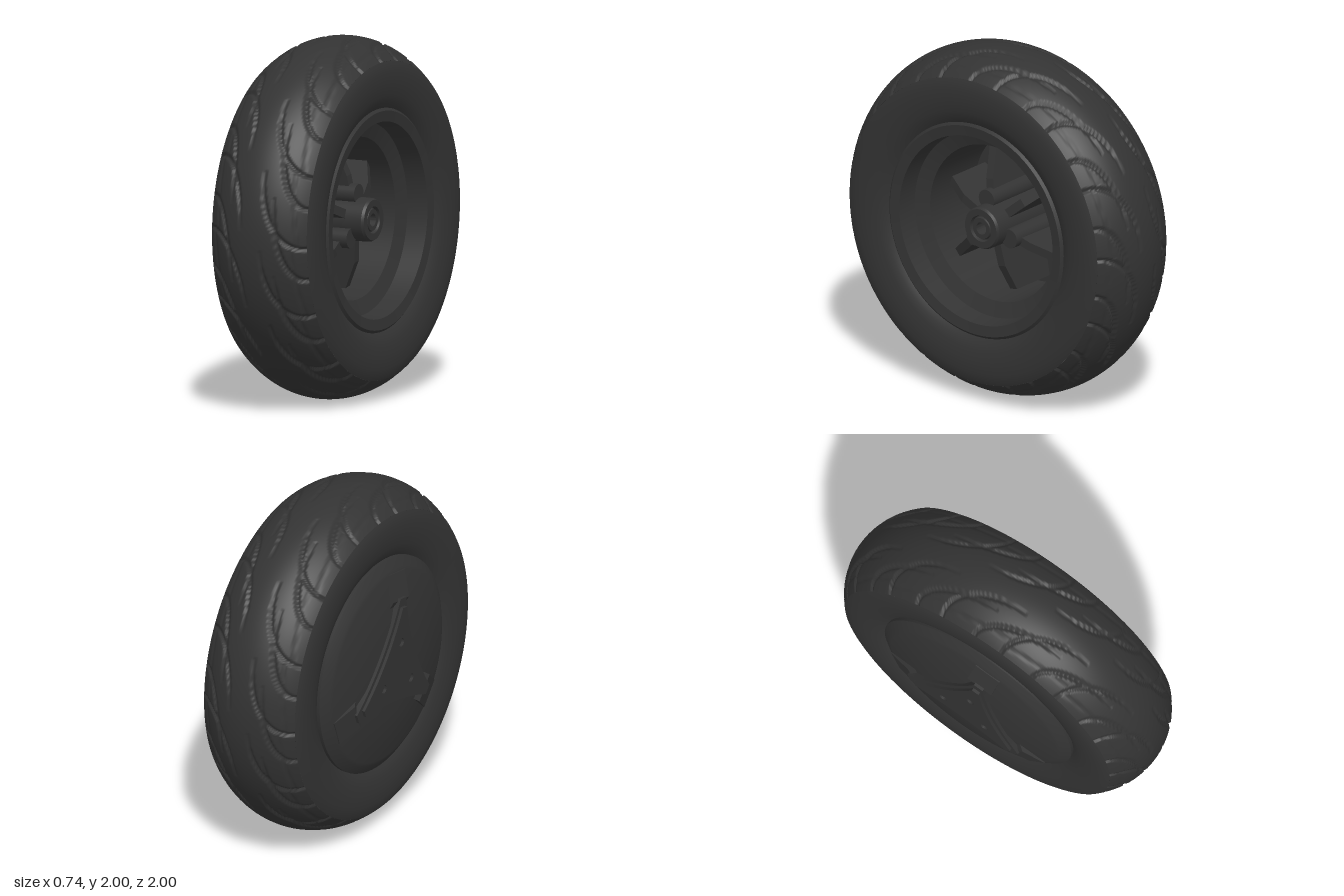
import * as THREE from 'three';
import { mergeVertices, toCreasedNormals } from 'three/addons/utils/BufferGeometryUtils.js';

const MID = 0.045;                    // centre plane of the tyre along the axle
const HALF = 0.295;                   // half width of the tread
const CORNERS = [80, 200, 320].map(THREE.MathUtils.degToRad);
const material = new THREE.MeshStandardMaterial({ color: 0x333333, side: THREE.DoubleSide });

function add(parent, name, geometry) {
  const mesh = new THREE.Mesh(geometry, material);
  mesh.name = name;
  parent.add(mesh);
  return mesh;
}

// Profile of [radius, x] pairs turned around the axle
function turned(points, segments = 96, crease = 0.45) {
  const g = new THREE.LatheGeometry(points.map(([r, x]) => new THREE.Vector2(r, x)), segments);
  g.rotateZ(-Math.PI / 2);
  return toCreasedNormals(g, crease);
}

// Shape drawn in (z, y), filling the axle range x0..x1
function slab(shape, x0, x1) {
  const g = new THREE.ExtrudeGeometry(shape, { depth: x1 - x0, bevelEnabled: false, curveSegments: 16 });
  g.rotateY(-Math.PI / 2);
  g.translate(x1, 0, 0);
  return toCreasedNormals(g, 0.5);
}

// Triangle with blunt corners and hollow sides
function triangle(Type, radius, blunt) {
  const path = new Type();
  CORNERS.forEach((a, i) => {
    const tip = (angle) => [radius * Math.cos(angle), radius * Math.sin(angle)];
    const before = tip(a - blunt), after = tip(a + blunt);
    if (i === 0) path.moveTo(...before);
    path.lineTo(...after);
    const mid = a + Math.PI / 3;
    const next = tip(a + Math.PI * 2 / 3 - blunt);
    path.quadraticCurveTo(radius * 0.36 * Math.cos(mid), radius * 0.36 * Math.sin(mid), ...next);
  });
  return path;
}

// Depth of the tread grooves, u = distance from the shoulder, phi = angle
function grooveDepth(u, phi) {
  const period = Math.PI * 2 / 14;
  let depth = 0;
  // Each crescent is a quarter ellipse: [start angle, length, reach]
  for (const [start, length, reach] of [[0.05, 0.44, 0.235], [0.25, 0.5, 0.165]]) {
    const t = phi - start + length;
    const base = t - Math.floor(t / period) * period;
    for (const s of [base, base + period]) {
      if (s > length * 1.05) continue;
      const p = u / reach, q = s / length;
      const f = Math.hypot(p, q);
      const slope = Math.hypot(p / reach, q / length) / Math.max(f, 1e-4);
      const distance = Math.abs(f - 1) / slope;
      const taper = Math.min(1, q * 2.5);
      const width = 0.007 + 0.007 * taper;
      depth = Math.max(depth, 0.015 * (0.3 + 0.7 * taper) * (1 - THREE.MathUtils.smoothstep(distance, width * 0.4, width)));
    }
  }
  // Slanted shoulder groove between the crescents
  const t = (phi - 0.05) / period;
  const line = Math.abs(u - 0.04 - 0.035 * (1 - (t - Math.floor(t))));
  return Math.max(depth, 0.006 * (1 - THREE.MathUtils.smoothstep(line, 0.003, 0.011)));
}

function treadGeometry() {
  const g = new THREE.PlaneGeometry(2, 2, 64, 728);
  const pos = g.attributes.position;
  const R = (HALF * HALF + 0.12 * 0.12) / 0.24;
  for (let i = 0; i < pos.count; i++) {
    const s = pos.getX(i) * HALF;
    const phi = pos.getY(i) * Math.PI;
    const u = HALF - Math.abs(s);
    // The far half repeats the pattern turned by 180 degrees
    const r = 1 - R + Math.sqrt(R * R - s * s) - grooveDepth(u, s < 0 ? phi : -phi);
    pos.setXYZ(i, MID + s, r * Math.sin(phi), r * Math.cos(phi));
  }
  g.deleteAttribute('uv');
  g.deleteAttribute('normal');
  const welded = mergeVertices(g, 1e-5);
  welded.computeVertexNormals();
  return welded;
}

export function createModel() {
  const model = new THREE.Group();
  model.name = 'wheel';
  const wheel = new THREE.Group();
  wheel.name = 'wheelAssembly';
  wheel.position.y = 1;
  wheel.rotation.y = 0.013;
  model.add(wheel);

  // Tyre
  const tyre = new THREE.Group();
  tyre.name = 'tyre';
  wheel.add(tyre);
  add(tyre, 'tread', treadGeometry());
  const wall = [[0.62, 0.27], [0.65, 0.29], [0.69, 0.302], [0.75, 0.312], [0.82, 0.312], [0.86, 0.304], [0.88, HALF]];
  add(tyre, 'openSidewall', turned(wall.map(([r, x]) => [r, MID + x]).reverse()));
  add(tyre, 'closedSidewall', turned(wall.map(([r, x]) => [r, MID - x])));

  // Rim: coned closed disc on one side, stepped open barrel on the other
  add(wheel, 'rim', turned([
    [0, -0.33], [0.28, -0.33], [0.55, -0.288], [0.57, -0.28], [0.62, -0.245], [0.62, -0.2],
    [0.58, -0.1], [0.58, 0.2], [0.62, 0.29], [0.62, 0.315], [0.605, 0.328], [0.545, 0.32],
    [0.535, 0.2], [0.45, 0.17], [0.44, -0.2], [0, -0.2],
  ]));

  // Triangular cover with an inset panel and three bolt holes
  const cover = new THREE.Group();
  cover.name = 'cover';
  wheel.add(cover);
  add(cover, 'coverPlate', slab(triangle(THREE.Shape, 0.415, 0.07), -0.348, -0.28));
  const panel = triangle(THREE.Shape, 0.365, 0.06);
  for (const a of CORNERS) {
    const hole = new THREE.Path();
    hole.absarc(0.16 * Math.cos(a), 0.16 * Math.sin(a), 0.024, 0, Math.PI * 2, true);
    panel.holes.push(hole);
  }
  add(cover, 'coverPanel', slab(panel, -0.365, -0.34));

  // Flared arms running from the cover's corners to the disc edge
  for (const a of CORNERS) {
    const arm = new THREE.Shape();
    arm.moveTo(-0.315, 0.36);
    arm.lineTo(-0.335, 0.4);
    arm.lineTo(-0.293, 0.55);
    arm.lineTo(-0.25, 0.55);
    arm.lineTo(-0.25, 0.36);
    const g = new THREE.ExtrudeGeometry(arm, { depth: 0.16, bevelEnabled: false });
    g.translate(0, 0, -0.08);
    add(cover, 'coverArm', g).rotation.x = Math.PI / 2 - a;
  }

  // Triangular rib inside the barrel
  const rib = triangle(THREE.Shape, 0.42, 0.07);
  rib.holes.push(triangle(THREE.Path, 0.38, 0.06));
  add(wheel, 'innerRib', slab(rib, -0.21, -0.08));

  // Hub with bearing recess and three bolt bosses
  const hub = new THREE.Group();
  hub.name = 'hub';
  wheel.add(hub);
  add(hub, 'hubBarrel', turned([
    [0.13, -0.2], [0.12, 0.265], [0.112, 0.28], [0.075, 0.28], [0.07, 0.26], [0.065, 0.26],
    [0.06, 0.275], [0.035, 0.275], [0.035, 0.1], [0, 0.1],
  ], 40));
  for (const a of CORNERS) {
    const g = new THREE.CylinderGeometry(0.055, 0.06, 0.4, 24);
    g.rotateZ(-Math.PI / 2);
    add(hub, 'boltBoss', g).position.set(0, 0.145 * Math.sin(a), 0.145 * Math.cos(a));
  }

  // Six tapered spokes, long and short in turn
  for (let i = 0; i < 6; i++) {
    const end = i % 2 ? 0.4 : 0.43;
    const spoke = new THREE.Shape();
    spoke.moveTo(-0.21, 0.08);
    spoke.lineTo(0.17, 0.08);
    spoke.lineTo(0.15, 0.25);
    spoke.lineTo(0.08, end);
    spoke.lineTo(-0.21, end);
    const g = new THREE.ExtrudeGeometry(spoke, { depth: 0.05, bevelEnabled: false });
    g.translate(0, 0, -0.025);
    add(wheel, 'spoke', g).rotation.x = Math.PI / 2 - CORNERS[0] - i * Math.PI / 3;
  }
  return model;
}
